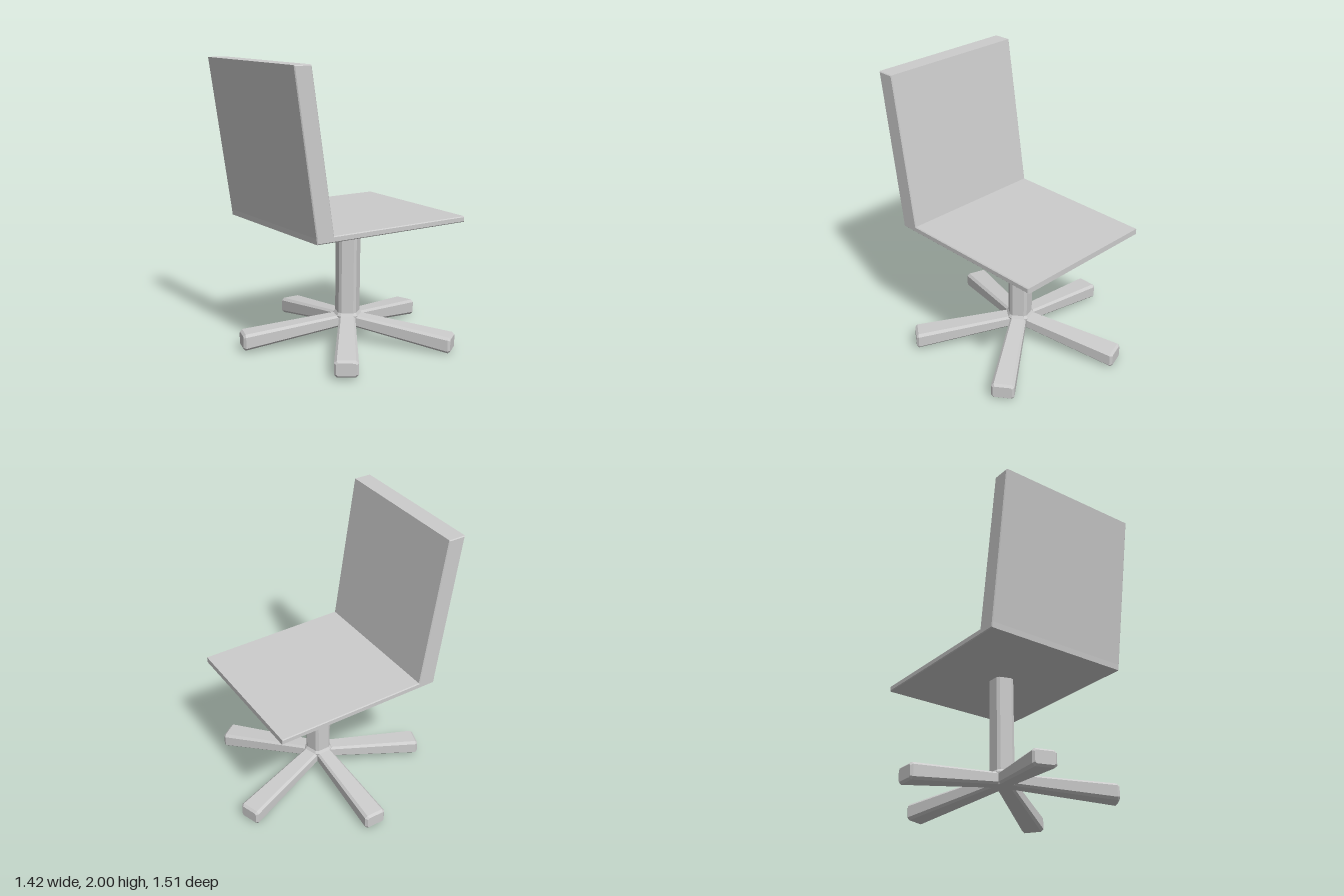
import * as THREE from 'three';

const material = new THREE.MeshStandardMaterial({ color: 0xcccccc, flatShading: true });

// Skin a row of equal-sized closed rings (counter-clockwise seen from the last one) and cap both ends.
function loft(rings) {
  const n = rings[0].length;
  const index = [];
  for (let r = 0; r < rings.length - 1; r++) {
    for (let i = 0; i < n; i++) {
      const a = r * n + i, b = r * n + (i + 1) % n;
      index.push(a, b, b + n, a, b + n, a + n);
    }
  }
  const last = (rings.length - 1) * n;
  for (let i = 1; i < n - 1; i++) {
    index.push(0, i + 1, i);
    index.push(last, last + i, last + i + 1);
  }
  const indexed = new THREE.BufferGeometry();
  indexed.setAttribute('position', new THREE.Float32BufferAttribute(rings.flat(2), 3));
  indexed.setIndex(index);
  const geometry = indexed.toNonIndexed();
  geometry.computeVertexNormals();
  return geometry;
}

// Pentagon with cut corners, lying flat at height y.
function pentagonRing(radius, y) {
  const ring = [];
  for (let k = 0; k < 5; k++) {
    for (const offset of [-8, 8]) {
      const a = THREE.MathUtils.degToRad(72 * k + offset);
      ring.push([radius * Math.cos(a), y, -radius * Math.sin(a)]);
    }
  }
  return ring;
}

// Rectangle with cut corners, standing across the leg at distance x.
function legRing(x, w, bottom, top, c) {
  return [
    [x, top, c - w], [x, top, w - c], [x, top - c, w], [x, bottom + c, w],
    [x, bottom, w - c], [x, bottom, c - w], [x, bottom + c, -w], [x, top - c, -w],
  ];
}

function addMesh(parent, name, geometry) {
  const mesh = new THREE.Mesh(geometry, material);
  mesh.name = name;
  parent.add(mesh);
  return mesh;
}

export function createModel() {
  const chair = new THREE.Group();
  chair.name = 'swivelChair';

  // Seat and reclined back as one bevelled L profile, drawn as (z, y)
  const profile = new THREE.Shape([
    [-0.615, 0.88], [0.602, 0.895], [0.606, 0.935], [0.76, 2],
    [0.635, 2], [0.475, 0.935], [-0.615, 0.92],
  ].map(([z, y]) => new THREE.Vector2(z, y)));
  const bevel = 0.006;
  const seatGeometry = new THREE.ExtrudeGeometry(profile, {
    depth: 1.08 - 2 * bevel, bevelThickness: bevel, bevelSize: bevel,
    bevelOffset: -bevel, bevelSegments: 1,
  });
  seatGeometry.rotateY(-Math.PI / 2);
  seatGeometry.translate(0.58 - bevel, 0, 0);
  addMesh(chair, 'seatAndBack', seatGeometry);

  // Base, leaning very slightly
  const base = new THREE.Group();
  base.name = 'base';
  base.position.set(0.045, 0, -0.005);
  base.rotation.x = -0.0125;
  chair.add(base);

  // Column with a small flare where it meets the legs
  addMesh(base, 'column', loft([
    pentagonRing(0.09, 0.118), pentagonRing(0.102, 0.198),
    pentagonRing(0.088, 0.218), pentagonRing(0.088, 0.9),
  ]));

  // Five legs that widen and drop towards their tips
  const legGeometry = loft([
    legRing(0.03, 0.05, 0.122, 0.203, 0.012),
    legRing(0.09, 0.058, 0.113, 0.198, 0.014),
    legRing(0.748, 0.08, 0.01, 0.125, 0.018),
    legRing(0.764, 0.066, 0.024, 0.11, 0.01),
  ]);
  for (let i = 0; i < 5; i++) {
    const leg = addMesh(base, `leg${i + 1}`, legGeometry);
    leg.rotation.y = THREE.MathUtils.degToRad(36 + 72 * i);
  }

  return chair;
}
